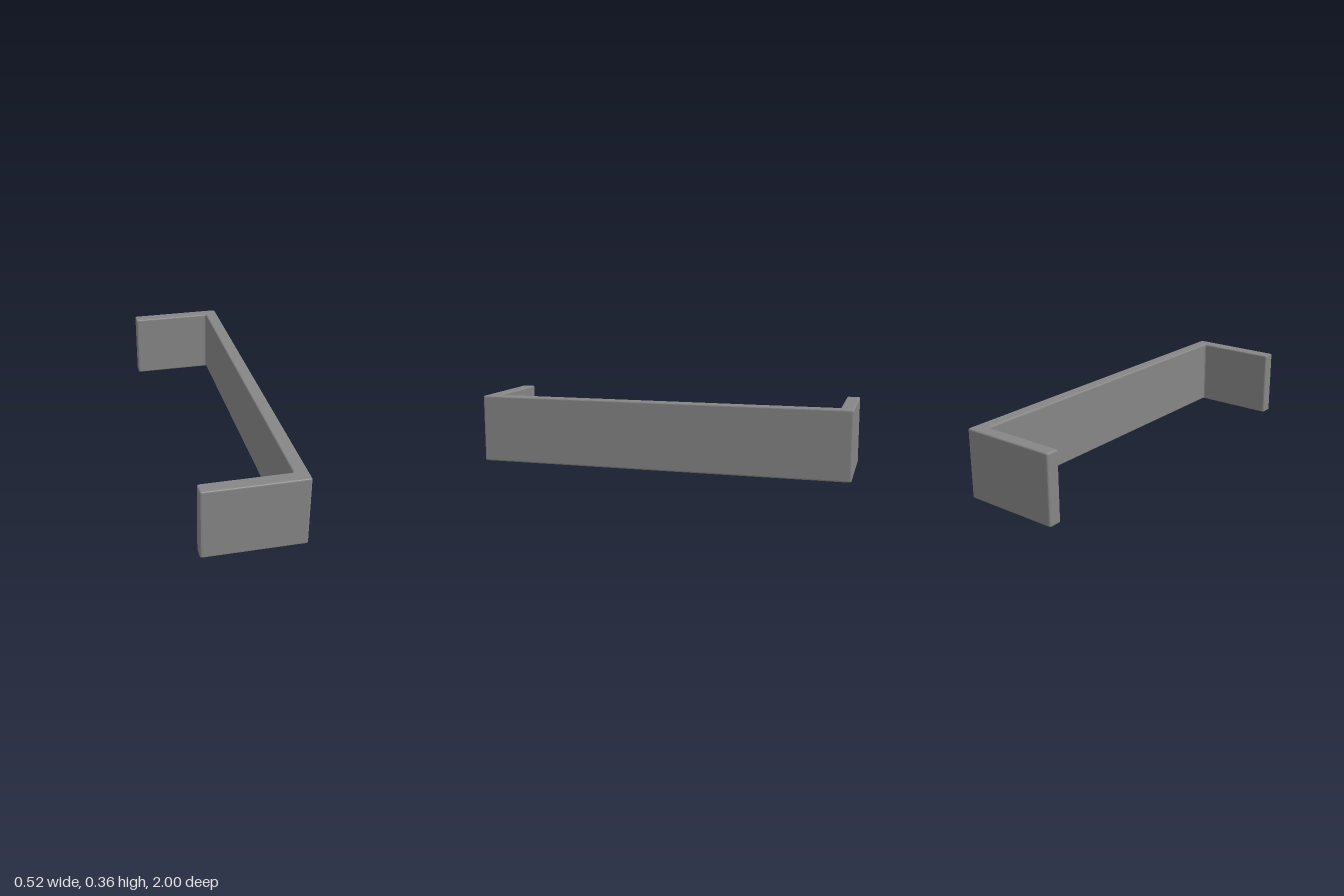
import * as THREE from 'three';

const HALF_W = 0.258, HALF_L = 1, HEIGHT = 0.363;
const WALL = 0.07, BEVEL = 0.008, RADIUS = 0.011;

// Closed outline with every corner rounded by r
function roundedOutline(corners, r) {
  const pts = corners.map(([x, y]) => new THREE.Vector2(x, y));
  const toward = (a, b) => b.clone().sub(a).setLength(r).add(a);
  const shape = new THREE.Shape();
  pts.forEach((p, i) => {
    const a = toward(p, pts[(i + pts.length - 1) % pts.length]);
    const b = toward(p, pts[(i + 1) % pts.length]);
    if (i === 0) shape.moveTo(a.x, a.y);
    else shape.lineTo(a.x, a.y);
    shape.quadraticCurveTo(p.x, p.y, b.x, b.y);
  });
  shape.closePath();
  return shape;
}

export function createModel() {
  const group = new THREE.Group();
  group.name = 'bracketHandle';

  // U-shaped plan: a long bar on the +x side with an arm at each end
  const inX = HALF_W - WALL, inL = HALF_L - WALL;
  const plan = roundedOutline([
    [-HALF_W, -HALF_L], [HALF_W, -HALF_L], [HALF_W, HALF_L], [-HALF_W, HALF_L],
    [-HALF_W, inL], [inX, inL], [inX, -inL], [-HALF_W, -inL],
  ], RADIUS);

  // Extrude upwards with softened top and bottom edges; the flat faces stay evenly shaded
  const geometry = new THREE.ExtrudeGeometry(plan, {
    depth: HEIGHT - 2 * BEVEL, curveSegments: 4,
    bevelEnabled: true, bevelThickness: BEVEL, bevelSize: BEVEL,
    bevelOffset: -BEVEL, bevelSegments: 3,
  });
  geometry.rotateX(-Math.PI / 2);
  geometry.translate(0, BEVEL, 0);

  const bracket = new THREE.Mesh(
    geometry,
    new THREE.MeshStandardMaterial({ color: 0x868686 }),
  );
  bracket.name = 'bracket';
  group.add(bracket);
  return group;
}
